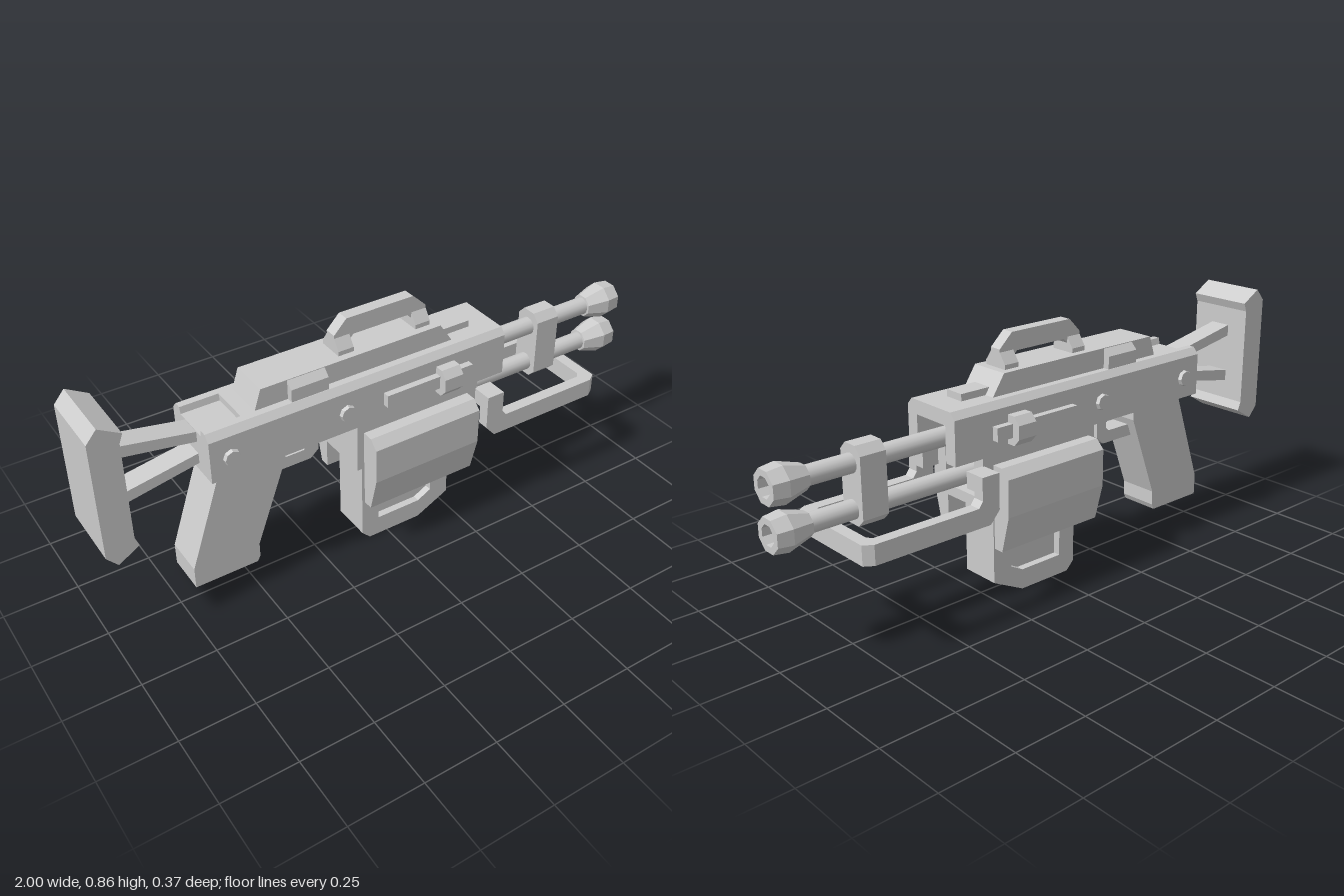
import * as THREE from 'three';

const mat = new THREE.MeshStandardMaterial({ color: 0xcccccc });
const flat = new THREE.MeshStandardMaterial({ color: 0xcccccc, flatShading: true });

function shapeOf(pts, hole) {
  const s = new THREE.Shape(pts.map(p => new THREE.Vector2(p[0], p[1])));
  if (hole) s.holes.push(new THREE.Path(hole.map(p => new THREE.Vector2(p[0], p[1]))));
  return s;
}

export function createModel() {
  const root = new THREE.Group();
  const add = (name, geo, m = mat) => {
    const mesh = new THREE.Mesh(geo, m);
    mesh.name = name;
    root.add(mesh);
    return mesh;
  };
  // side profile in (x, y), extruded over z0..z1
  const sideCut = (name, pts, z0, z1, hole) => add(name,
    new THREE.ExtrudeGeometry(shapeOf(pts, hole), { depth: z1 - z0, bevelEnabled: false }).translate(0, 0, z0));
  // cross-section in (z, y), extruded over x0..x1
  const crossCut = (name, pts, x0, x1) => add(name,
    new THREE.ExtrudeGeometry(shapeOf(pts.map(p => [-p[0], p[1]])), { depth: x1 - x0, bevelEnabled: false })
      .rotateY(Math.PI / 2).translate(x0, 0, 0));
  // plan profile in (x, z), extruded over y0..y1
  const planCut = (name, pts, y0, y1) => add(name,
    new THREE.ExtrudeGeometry(shapeOf(pts.map(p => [p[0], -p[1]])), { depth: y1 - y0, bevelEnabled: false })
      .rotateX(-Math.PI / 2).translate(0, y0, 0));
  const box = (name, x0, x1, y0, y1, z0, z1) => add(name,
    new THREE.BoxGeometry(x1 - x0, y1 - y0, z1 - z0)
      .translate((x0 + x1) / 2, (y0 + y1) / 2, (z0 + z1) / 2));
  // completes a half cross-section by mirroring it across z = 0
  const sym = half => [...half, ...half.map(p => [-p[0], p[1]]).reverse()];

  // receiver: grooved rear, solid middle, hollow front
  crossCut('receiverRear', sym([[0.115, 0.52], [0.115, 0.665], [0.095, 0.687], [0.07, 0.687], [0.065, 0.665]]), -0.65, -0.52);
  crossCut('receiverMiddle', sym([[0.115, 0.52], [0.115, 0.665], [0.095, 0.687]]), -0.52, 0.25);
  crossCut('receiverFront', sym([[0.07, 0.52], [0.115, 0.52], [0.115, 0.665], [0.095, 0.687]])
    .slice(0, 8).concat([[-0.07, 0.64], [0.07, 0.64]]), 0.25, 0.43);
  box('lowerReceiver', -0.145, 0.25, 0.35, 0.52, -0.115, 0.115);
  crossCut('lowerReceiverFront', sym([[0.07, 0.52], [0.115, 0.52], [0.115, 0.35]])
    .concat([[-0.07, 0.385], [0.07, 0.385]]), 0.25, 0.325);

  // top cover with side lugs and front catch
  sideCut('topCover', [[-0.475, 0.68], [-0.45, 0.755], [0.2, 0.755], [0.25, 0.68]], -0.07, 0.07);
  crossCut('coverLugs', sym([[0.093, 0.68], [0.093, 0.73], [0.07, 0.753]]), -0.36, -0.23);
  box('frontCatch', 0.22, 0.34, 0.68, 0.71, -0.035, 0.035);

  // carrying handle on flared feet
  sideCut('carryHandle', [[-0.165, 0.755], [-0.165, 0.815], [-0.12, 0.862], [0.125, 0.862], [0.175, 0.815],
    [0.175, 0.755], [0.12, 0.755], [0.12, 0.785], [0.105, 0.8], [-0.095, 0.8], [-0.11, 0.785], [-0.11, 0.755]], -0.021, 0.021);
  for (const x of [-0.165, 0.12])
    crossCut('handleFoot', sym([[0.045, 0.75], [0.045, 0.77], [0.021, 0.805]]), x, x + 0.055);

  // shoulder stock
  sideCut('buttPlate', [[-1, 0.4], [-1, 0.805], [-0.965, 0.846], [-0.895, 0.805], [-0.907, 0.775],
    [-0.907, 0.432], [-0.895, 0.402], [-0.965, 0.36]], -0.115, 0.115);
  for (const s of [1, -1])
    sideCut('stockStrut', [[-0.92, 0.605 + s * 0.068], [-0.92, 0.605 + s * 0.108],
      [-0.64, 0.605 + s * 0.055], [-0.64, 0.605 + s * 0.02]], -0.037, 0.037);

  // grip and trigger guard
  sideCut('grip', [[-0.6, 0.53], [-0.72, 0.18], [-0.72, 0.105], [-0.5, 0.105], [-0.49, 0.125],
    [-0.49, 0.175], [-0.38, 0.47], [-0.38, 0.53]], -0.07, 0.07);
  sideCut('triggerGuard', [[-0.24, 0.53], [-0.24, 0.43], [-0.27, 0.403], [-0.42, 0.403], [-0.42, 0.445],
    [-0.295, 0.445], [-0.283, 0.457], [-0.283, 0.53]], -0.035, 0.035);

  // magazine with recessed side panels
  const magOutline = [[-0.1, 0.4], [-0.1, 0.03], [-0.07, 0], [0.13, 0], [0.25, 0.06], [0.25, 0.4]];
  const magWindow = [[-0.035, 0.23], [-0.035, 0.07], [0.13, 0.07], [0.18, 0.097], [0.18, 0.23]];
  sideCut('magazineCore', magOutline, -0.045, 0.045);
  for (const s of [1, -1])
    sideCut('magazineRim', magOutline, s > 0 ? 0.045 : -0.07, s > 0 ? 0.07 : -0.045, magWindow);

  for (const s of [1, -1]) {
    const span = (a, b) => s > 0 ? [a, b] : [-b, -a];
    // side plate, tapered toward its lower edge
    crossCut('sidePlate', [[0.113, 0.49], [0.155, 0.49], [0.185, 0.46], [0.185, 0.335], [0.153, 0.21], [0.118, 0.21]]
      .map(p => [p[0] * s, p[1]]), -0.12, 0.285);
    // bolt slot and charging knob
    box('boltRail', -0.045, 0.285, 0.57, 0.615, ...span(0.11, 0.138));
    crossCut('chargingKnob', [[0.11, 0.545], [0.145, 0.545], [0.167, 0.57], [0.167, 0.615], [0.145, 0.64], [0.11, 0.64]]
      .map(p => [p[0] * s, p[1]]), 0.155, 0.225);
    for (const x of [-0.58, -0.18])
      add('bodyScrew', new THREE.CylinderGeometry(0.026, 0.032, 0.03, 8).rotateX(s * Math.PI / 2)
        .translate(x, 0.592, s * 0.113), flat);
    // mounts joining the hand guard to the body
    sideCut('guardMount', [[0.32, 0.495], [0.32, 0.375], [0.355, 0.335], [0.4, 0.335], [0.4, 0.4], [0.385, 0.42], [0.385, 0.495]],
      ...span(0.145, 0.185));
    box('guardPeg', 0.32, 0.385, 0.44, 0.495, ...span(0.11, 0.146));
  }

  // hand guard loop
  planCut('handGuard', sym([[0.185, 0.39], [0.185, 0.775], [0.165, 0.805]].map(p => [p[0], p[1]]))
    .map(p => [p[1], p[0]])
    .concat([[0.39, -0.145], [0.75, -0.145], [0.765, -0.13], [0.765, 0.13], [0.75, 0.145], [0.39, 0.145]]), 0.335, 0.4);

  // twin barrels with hollow flared muzzles
  const muzzle = [[0, 0.9], [0.032, 0.9], [0.034, 1], [0.056, 1], [0.063, 0.95], [0.04, 0.875], [0, 0.87]]
    .map(p => new THREE.Vector2(p[0], p[1])).reverse();
  for (const y of [0.577, 0.433]) {
    add('barrel', new THREE.CylinderGeometry(0.031, 0.031, 0.65, 16).rotateZ(Math.PI / 2).translate(0.565, y, 0));
    const m = flat.clone();
    m.side = THREE.DoubleSide;
    add('muzzle', new THREE.LatheGeometry(muzzle, 8, Math.PI / 8).rotateZ(-Math.PI / 2).translate(0, y, 0), m);
  }
  crossCut('barrelClamp', sym([[0.025, 0.385], [0.05, 0.41], [0.05, 0.608], [0.025, 0.635]]), 0.63, 0.72);

  return root;
}
